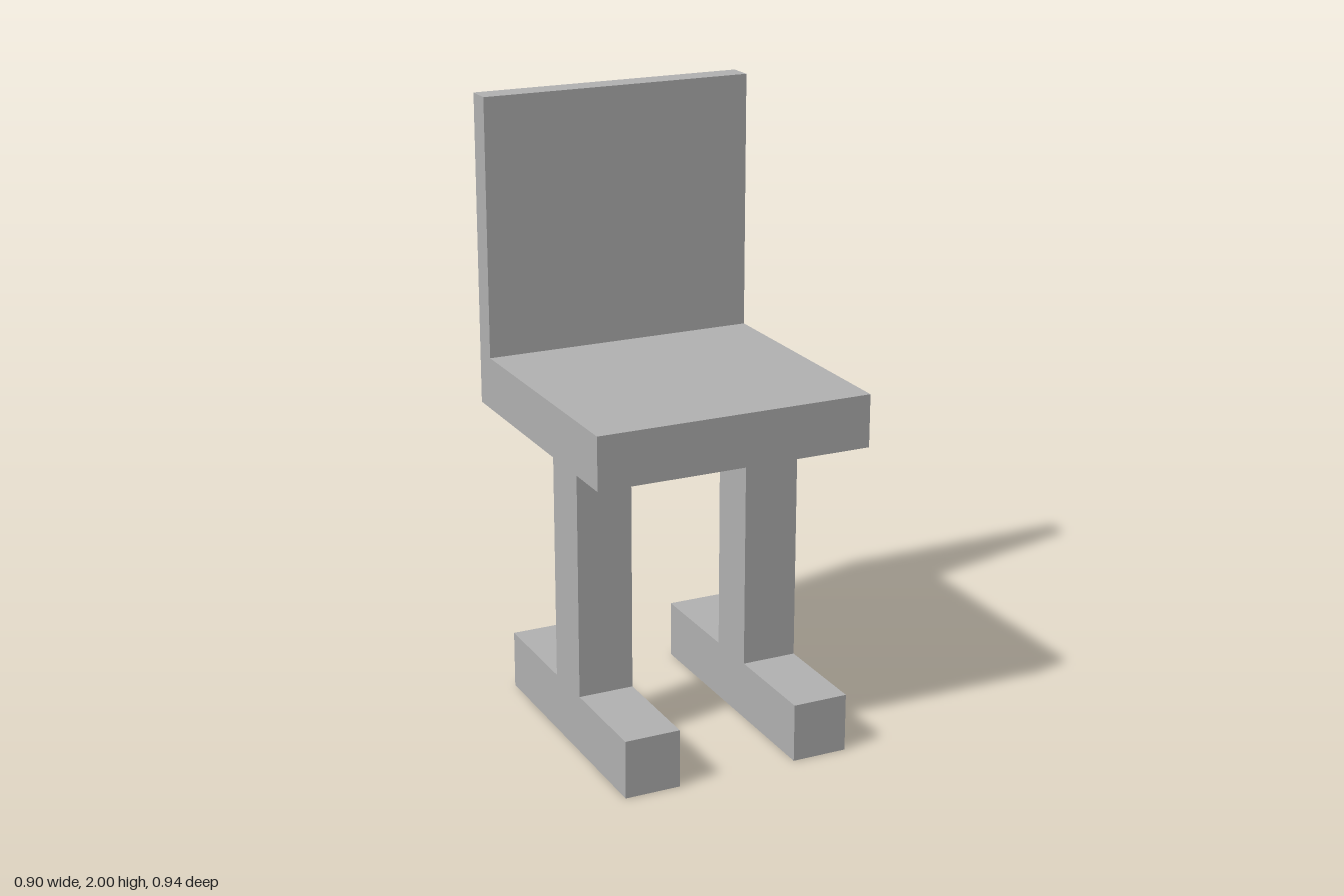
import * as THREE from 'three';

const grey = new THREE.MeshStandardMaterial({ color: 0xb2b2b2 });
grey.name = 'grey';

// Extrudes a side profile of [z, y] points across x, centred on x = 0
function sideProfile(name, points, width) {
  const shape = new THREE.Shape(points.map(([z, y]) => new THREE.Vector2(z, y)));
  const geometry = new THREE.ExtrudeGeometry(shape, { depth: width, bevelEnabled: false });
  geometry.translate(0, 0, -width / 2);
  geometry.rotateY(-Math.PI / 2);
  const mesh = new THREE.Mesh(geometry, grey);
  mesh.name = name;
  return mesh;
}

export function createModel() {
  const chair = new THREE.Group();
  chair.name = 'chair';

  // L-shaped seat and backrest in one piece
  chair.add(sideProfile('seatAndBackrest', [
    [0.449, 0.995], [0.449, 1.165], [-0.388, 1.165],
    [-0.388, 2], [-0.472, 2], [-0.472, 0.995],
  ], 0.904));

  // Two legs, each an upright post on a long foot
  for (const [name, side] of [['leftLeg', 1], ['rightLeg', -1]]) {
    const leg = sideProfile(name, [
      [0.472, 0], [0.472, 0.19], [0.127, 0.19], [0.127, 0.995],
      [-0.055, 0.995], [-0.055, 0.19], [-0.42, 0.19], [-0.42, 0],
    ], 0.182);
    leg.position.x = side * 0.289;
    chair.add(leg);
  }
  return chair;
}
